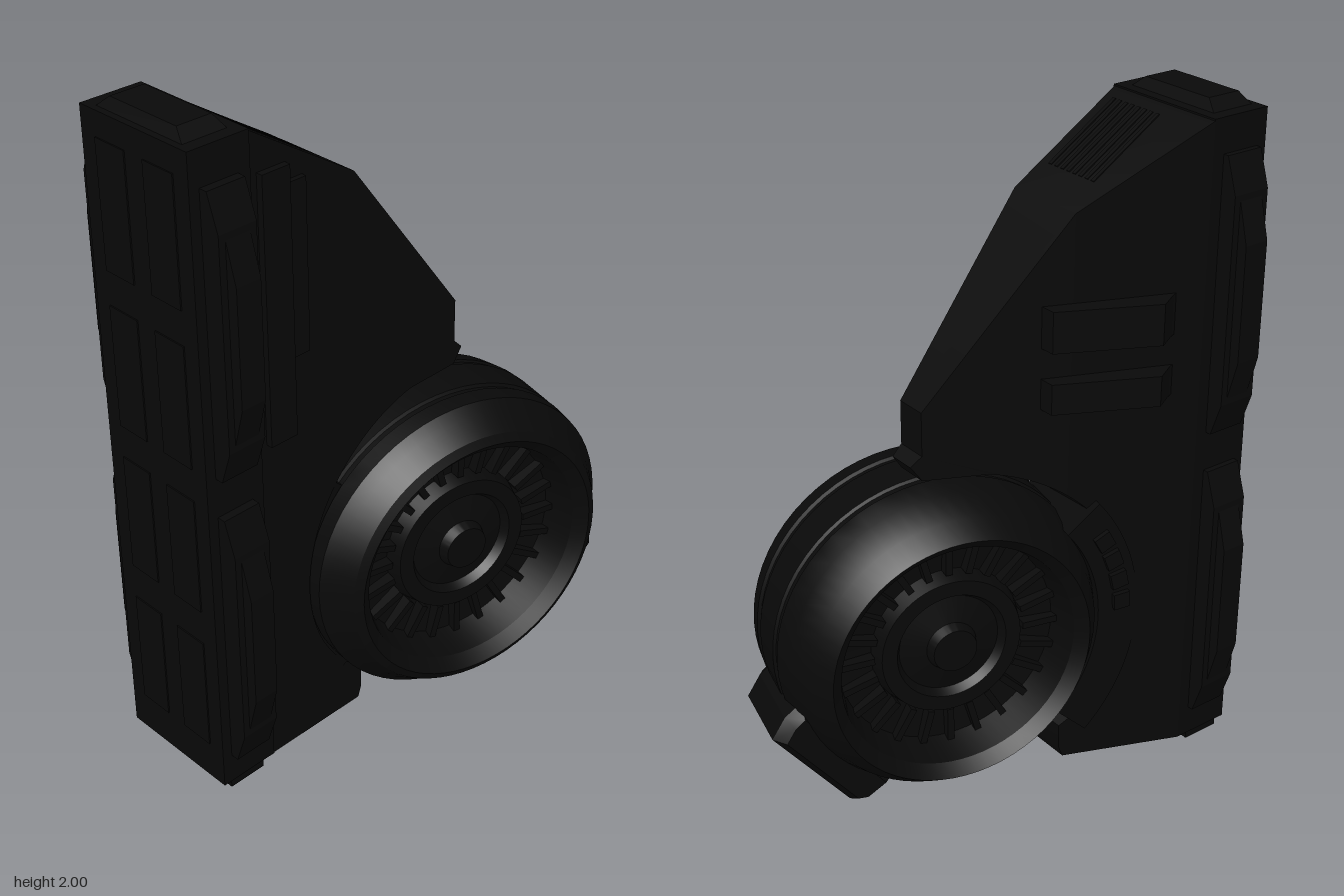
import * as THREE from 'three';
import { toCreasedNormals } from 'three/addons/utils/BufferGeometryUtils.js';

const dark = new THREE.MeshStandardMaterial({ color: 0x090909 });
dark.name = 'matte black';

function add(parent, name, geometry, x = 0, y = 0, z = 0) {
  const mesh = new THREE.Mesh(geometry, dark);
  mesh.name = name;
  mesh.position.set(x, y, z);
  parent.add(mesh);
  return mesh;
}

// Box given by its minimum and maximum corners
function block(parent, name, [x0, y0, z0], [x1, y1, z1]) {
  return add(parent, name, new THREE.BoxGeometry(x1 - x0, y1 - y0, z1 - z0),
    (x0 + x1) / 2, (y0 + y1) / 2, (z0 + z1) / 2);
}

const shapeOf = (pts) => new THREE.Shape(pts.map(([x, y]) => new THREE.Vector2(x, y)));
const extrude = (shape, depth) =>
  new THREE.ExtrudeGeometry(shape, { depth, bevelEnabled: false, curveSegments: 32 });

// Wedge-shaped fin, thick at the spine and thin at its outer edge
const backZ = (x) => -0.325 + ((x + 0.5) / 0.73) * 0.3;
function finGeometry() {
  const s = shapeOf([[-0.5, 0.025], [-0.5, 1.965], [-0.16, 1.75], [0.225, 1.23], [0.225, 1.1],
    [0.255, 1.07], [0.225, 1.025], [0.05, 1.02]]);
  s.absarc(0.155, 0.533, 0.498, 1.78, 4.06, false);
  s.lineTo(-0.148, 0.06);
  s.lineTo(-0.16, 0.025);
  const g = extrude(s, 1);
  const p = g.attributes.position;
  for (let i = 0; i < p.count; i++) {
    p.setZ(i, THREE.MathUtils.lerp(backZ(p.getX(i)), 0.07, p.getZ(i)));
  }
  g.computeVertexNormals();
  return toCreasedNormals(g, 0.5);
}

// Long armour rail that wraps the spine front and back, tapered at both ends
function rail(parent, y0, y1) {
  const mid = (y0 + y1) / 2, h = (y1 - y0) / 2, c = -0.122;
  const layer = (name, width, steps) => {
    const corner = (sy, sz) => steps.map(([t, d]) => [-(c + sz * d), mid + sy * t * h]);
    const pts = [...corner(1, 1), ...corner(-1, 1).reverse(), ...corner(-1, -1), ...corner(1, -1).reverse()];
    const g = extrude(shapeOf(pts), width);
    g.translate(0, 0, -width / 2);
    g.rotateY(Math.PI / 2);
    add(parent, name, g, -0.597, 0, 0);
  };
  layer('rail', 0.118, [[1, 0.22], [0.75, 0.255]]);
  layer('railRidge', 0.077, [[0.75, 0.25], [0.42, 0.287]]);
}

function buildDrum() {
  const drum = new THREE.Group();
  drum.name = 'drum';
  drum.position.set(0.157, 0.528, 0.05);
  drum.rotation.y = -0.235;

  // Barrel with a recessed hub at each end
  const end = [[0, 0.2], [0.065, 0.2], [0.075, 0.17], [0.15, 0.15], [0.165, 0.175], [0.21, 0.175],
    [0.225, 0.125], [0.325, 0.135], [0.35, 0.235], [0.385, 0.268]];
  const barrel = [[0.41, 0.255], [0.445, 0.2], [0.472, 0.17], [0.477, 0.12], [0.468, 0.115], [0.468, 0.095],
    [0.477, 0.09], [0.479, -0.03], [0.471, -0.035], [0.471, -0.055], [0.477, -0.06], [0.463, -0.13], [0.428, -0.21]];
  const back = end.map(([r, y]) => [r, -y]).reverse();
  const profile = [...end, ...barrel, ...back].reverse().map(([r, y]) => new THREE.Vector2(r, y));
  const g = new THREE.LatheGeometry(profile, 64);
  g.rotateX(Math.PI / 2);
  add(drum, 'barrel', toCreasedNormals(g, 0.4));

  // Radial vanes in both recesses
  for (const side of [-1, 1]) {
    for (let i = 0; i < 24; i++) {
      const a = (i / 24) * Math.PI * 2;
      const vane = add(drum, 'vane', new THREE.BoxGeometry(0.11, 0.02, 0.04),
        Math.cos(a) * 0.28, Math.sin(a) * 0.28, side * 0.14);
      vane.rotation.z = a;
    }
  }

  // Collar that joins the drum to the fin, with small tabs
  const ring = new THREE.Shape();
  ring.absarc(0, 0, 0.575, 2.45, 3.9, false);
  ring.absarc(0, 0, 0.45, 3.9, 2.45, true);
  add(drum, 'collar', toCreasedNormals(extrude(ring, 0.3), 0.4), 0, 0, -0.19);
  for (let i = 0; i < 4; i++) {
    const a = 2.65 + i * 0.14;
    const tab = add(drum, 'collarTab', new THREE.BoxGeometry(0.05, 0.05, 0.03), Math.cos(a) * 0.52, Math.sin(a) * 0.52, -0.19);
    tab.rotation.z = a;
  }

  // Angular pod on the lower outer side
  const pod = new THREE.Group();
  pod.name = 'pod';
  pod.rotation.z = -0.675;
  drum.add(pod);
  const s = shapeOf([[0.4, -0.23], [0.5, -0.22], [0.535, -0.185], [0.535, 0.165], [0.465, 0.19], [0.4, 0.19]]);
  const body = new THREE.ExtrudeGeometry(s, { depth: 0.23, bevelThickness: 0.04, bevelSize: 0.025, bevelOffset: -0.025, bevelSegments: 1 });
  add(pod, 'podBody', toCreasedNormals(body, 0.3), 0, 0, -0.12);
  block(pod, 'podPlate', [0.53, -0.13, -0.08], [0.543, 0.12, 0.06]);
  return drum;
}

export function createModel() {
  const model = new THREE.Group();
  model.name = 'finAndDrum';

  // Upright spine with chamfered cap and feet
  block(model, 'spine', [-0.687, 0.025, -0.325], [-0.5, 1.97, 0.073]);
  const cap = new THREE.CylinderGeometry(0.75, 1, 0.035, 4, 1).toNonIndexed();
  cap.rotateY(Math.PI / 4);
  cap.scale(0.07 * Math.SQRT2, 1, 0.165 * Math.SQRT2);
  cap.computeVertexNormals();
  add(model, 'cap', cap, -0.6, 1.9825, -0.125);
  for (const [z0, z1] of [[-0.32, -0.17], [-0.15, -0.1], [0, 0.07]]) {
    block(model, 'foot', [-0.66, 0, z0], [-0.54, 0.03, z1]);
  }
  rail(model, 1.06, 1.87);
  rail(model, 0.12, 0.94);

  // Panels on the outer side of the spine
  for (const y of [0.15, 0.62, 1.08, 1.54]) {
    for (const z of [-0.27, -0.09]) {
      block(model, 'sidePanel', [-0.691, y, z], [-0.685, y + 0.36, z + 0.11]);
    }
  }

  // Fin and its front plates
  add(model, 'fin', finGeometry());
  block(model, 'frontPlate', [-0.48, 1.08, 0.06], [-0.39, 1.85, 0.09]);
  block(model, 'frontStep', [-0.39, 1.31, 0.06], [-0.335, 1.8, 0.085]);

  // Grille on the sloping top edge
  const grille = new THREE.Group();
  grille.name = 'grille';
  grille.position.set(-0.35, 1.87, 0);
  grille.rotation.z = -0.564;
  for (let i = 0; i < 8; i++) {
    block(grille, 'grilleRib', [-0.14, -0.02, -0.15 + i * 0.025], [0.12, 0.003, -0.138 + i * 0.025]);
  }
  model.add(grille);

  // Two scoops on the back of the fin
  for (const [y0, y1] of [[1.2, 1.29], [1.38, 1.5]]) {
    const g = extrude(shapeOf([[-0.46, 0.28], [-0.41, 0.3], [-0.35, 0.335], [-0.08, 0.2], [-0.08, 0.12], [-0.4, 0.2]].reverse()), y1 - y0);
    g.rotateX(-Math.PI / 2);
    add(model, 'scoop', g, 0, y0, 0);
  }

  model.add(buildDrum());
  return model;
}
